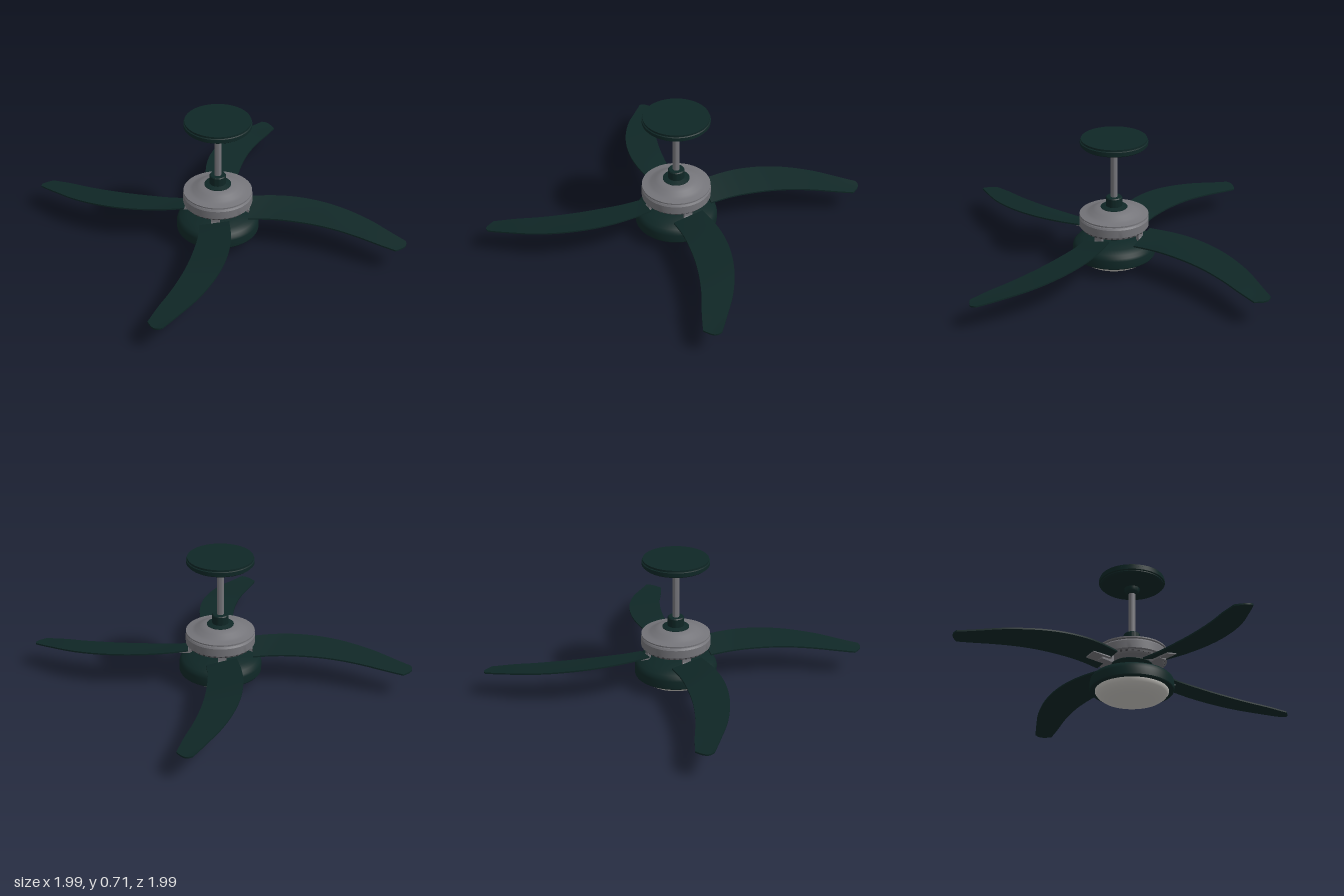
import * as THREE from 'three';
import { toCreasedNormals } from 'three/addons/utils/BufferGeometryUtils.js';

const flat = (name, color) => {
  const m = new THREE.MeshStandardMaterial({ color });
  m.name = name;
  return m;
};

// Turned part from [radius, y] points listed bottom to top
function turned(name, points, material, crease = 0.5) {
  const geo = new THREE.LatheGeometry(points.map(([r, y]) => new THREE.Vector2(r, y)), 64);
  const mesh = new THREE.Mesh(toCreasedNormals(geo, crease), material);
  mesh.name = name;
  return mesh;
}

// Curved, pitched and drooping blade along +x, lofted between two edge curves
function bladeGeometry() {
  const curve = pts => new THREE.CatmullRomCurve3(pts.map(([x, z]) => new THREE.Vector3(x, 0, z)));
  const back = curve([[0.17, -0.082], [0.28, -0.104], [0.4, -0.112], [0.53, -0.099], [0.66, -0.063],
    [0.79, -0.003], [0.9, 0.07], [0.99, 0.133]]);
  const front = curve([[0.17, 0.075], [0.28, 0.066], [0.39, 0.07], [0.51, 0.083], [0.62, 0.105],
    [0.73, 0.137], [0.84, 0.178], [0.94, 0.21]]);
  const droop = new THREE.SplineCurve([[0.17, 0.188], [0.4, 0.187], [0.6, 0.177], [0.8, 0.157], [1, 0.133]]
    .map(([x, y]) => new THREE.Vector2(x, y)));
  const rows = 32, cols = 8, ring = 2 * (cols + 1), half = 0.004;
  const pos = [], idx = [];
  for (let i = 0; i <= rows; i++) {
    const t = i / rows, a = back.getPoint(t), b = front.getPoint(t);
    const tilt = THREE.MathUtils.lerp(0.02, 0.007, t);
    for (let k = 0; k < ring; k++) {
      const top = k <= cols;
      const u = (top ? k : ring - 1 - k) / cols;
      const p = a.clone().lerp(b, u);
      p.x += 0.022 * Math.sin(Math.PI * u) * t ** 6;
      const y = droop.getPoint(THREE.MathUtils.clamp((p.x - 0.17) / 0.83, 0, 1)).y;
      pos.push(p.x, y + tilt * (1 - 2 * u) + (top ? half : -half), p.z);
    }
  }
  for (let i = 0; i < rows; i++) {
    for (let k = 0; k < ring; k++) {
      const n = (k + 1) % ring, a = i * ring, c = a + ring;
      idx.push(a + k, a + n, c + k, a + n, c + n, c + k);
    }
  }
  // Root and tip caps
  for (let k = 0; k < cols; k++) {
    const e = rows * ring, o = ring - 1 - k;
    idx.push(o, k + 1, k, o, o - 1, k + 1);
    idx.push(e + o, e + k, e + k + 1, e + o, e + k + 1, e + o - 1);
  }
  const geo = new THREE.BufferGeometry();
  geo.setAttribute('position', new THREE.Float32BufferAttribute(pos, 3));
  geo.setIndex(idx);
  return toCreasedNormals(geo, 0.6);
}

// Bent strap that drops from the motor and turns outward under the blade
function strapGeometry() {
  const s = new THREE.Shape();
  s.moveTo(0.146, 0.222);
  s.lineTo(0.146, 0.19);
  s.quadraticCurveTo(0.147, 0.168, 0.168, 0.168);
  s.lineTo(0.225, 0.17);
  s.lineTo(0.225, 0.181);
  s.lineTo(0.172, 0.181);
  s.quadraticCurveTo(0.162, 0.181, 0.161, 0.194);
  s.lineTo(0.161, 0.222);
  s.closePath();
  const geo = new THREE.ExtrudeGeometry(s, { depth: 0.044, bevelEnabled: false, curveSegments: 8 });
  return toCreasedNormals(geo.translate(0, 0, -0.03), 0.6);
}

export function createModel() {
  const green = flat('dark green', 0x0f2726);
  const metal = flat('grey metal', 0x75757a);
  const groove = flat('dark grey', 0x3c3c40);
  const glass = flat('frosted glass', 0xcac8c3);
  const fan = new THREE.Group();
  fan.name = 'ceilingFan';

  // Ceiling mount and hanging rod
  fan.add(
    turned('canopy', [[0, 0.648], [0.045, 0.65], [0.1, 0.656], [0.16, 0.664], [0.168, 0.67], [0.168, 0.675],
      [0.175, 0.678], [0.175, 0.694], [0.17, 0.697], [0.17, 0.707], [0, 0.707]], green),
    turned('canopyCollar', [[0, 0.617], [0.026, 0.617], [0.036, 0.627], [0.04, 0.64], [0.04, 0.655]], green),
    turned('rod', [[0.018, 0.35], [0.018, 0.63]], metal),
    turned('rodCollar', [[0.07, 0.318], [0.07, 0.327], [0.043, 0.334], [0.043, 0.378], [0.039, 0.383], [0, 0.383]], green)
  );

  // Motor housing
  fan.add(
    turned('motorBody', [[0, 0.206], [0.16, 0.206], [0.168, 0.212], [0.172, 0.222], [0.182, 0.226],
      [0.182, 0.268], [0.176, 0.277], [0.168, 0.279]], metal),
    turned('motorGroove', [[0.168, 0.276], [0.168, 0.286]], groove),
    turned('motorLid', [[0.165, 0.283], [0.18, 0.283], [0.18, 0.29], [0.15, 0.294], [0.132, 0.3],
      [0.11, 0.314], [0.085, 0.324], [0, 0.327]], metal)
  );
  const ventGeo = new THREE.BoxGeometry(0.012, 0.008, 0.008);
  for (let i = 0; i < 36; i++) {
    const vent = new THREE.Mesh(ventGeo, groove);
    vent.name = 'motorVent';
    const a = i / 36 * Math.PI * 2;
    vent.position.set(Math.sin(a) * 0.168, 0.217, Math.cos(a) * 0.168);
    vent.rotation.y = a;
    fan.add(vent);
  }

  // Neck, light housing and glass bowl
  fan.add(
    turned('neck', [[0.078, 0.155], [0.08, 0.172], [0.092, 0.19], [0.107, 0.202], [0.107, 0.212]], green),
    turned('lightHousing', [[0, 0.062], [0.214, 0.062], [0.217, 0.067], [0.217, 0.108], [0.213, 0.122],
      [0.2, 0.136], [0.165, 0.15], [0.125, 0.161], [0.1, 0.166], [0, 0.166]], green),
    turned('glassBowl', [[0, 0], [0.05, 0.001], [0.09, 0.005], [0.13, 0.014], [0.16, 0.026],
      [0.18, 0.041], [0.189, 0.054], [0.19, 0.064]], glass, 0.8)
  );

  // Four blades, each with its bracket
  const bladeGeo = bladeGeometry(), strapGeo = strapGeometry();
  const plateGeo = new THREE.BoxGeometry(0.11, 0.008, 0.06);
  for (let i = 0; i < 4; i++) {
    const arm = new THREE.Group();
    arm.name = 'bladeArm';
    const blade = new THREE.Mesh(bladeGeo, green);
    blade.name = 'blade';
    const strap = new THREE.Mesh(strapGeo, metal);
    strap.name = 'bracketStrap';
    const plate = new THREE.Mesh(plateGeo, metal);
    plate.name = 'bracketPlate';
    plate.position.set(0.235, 0.18, -0.012);
    plate.rotation.x = 0.24;
    arm.add(blade, strap, plate);
    arm.rotation.y = i * Math.PI / 2;
    fan.add(arm);
  }
  return fan;
}
